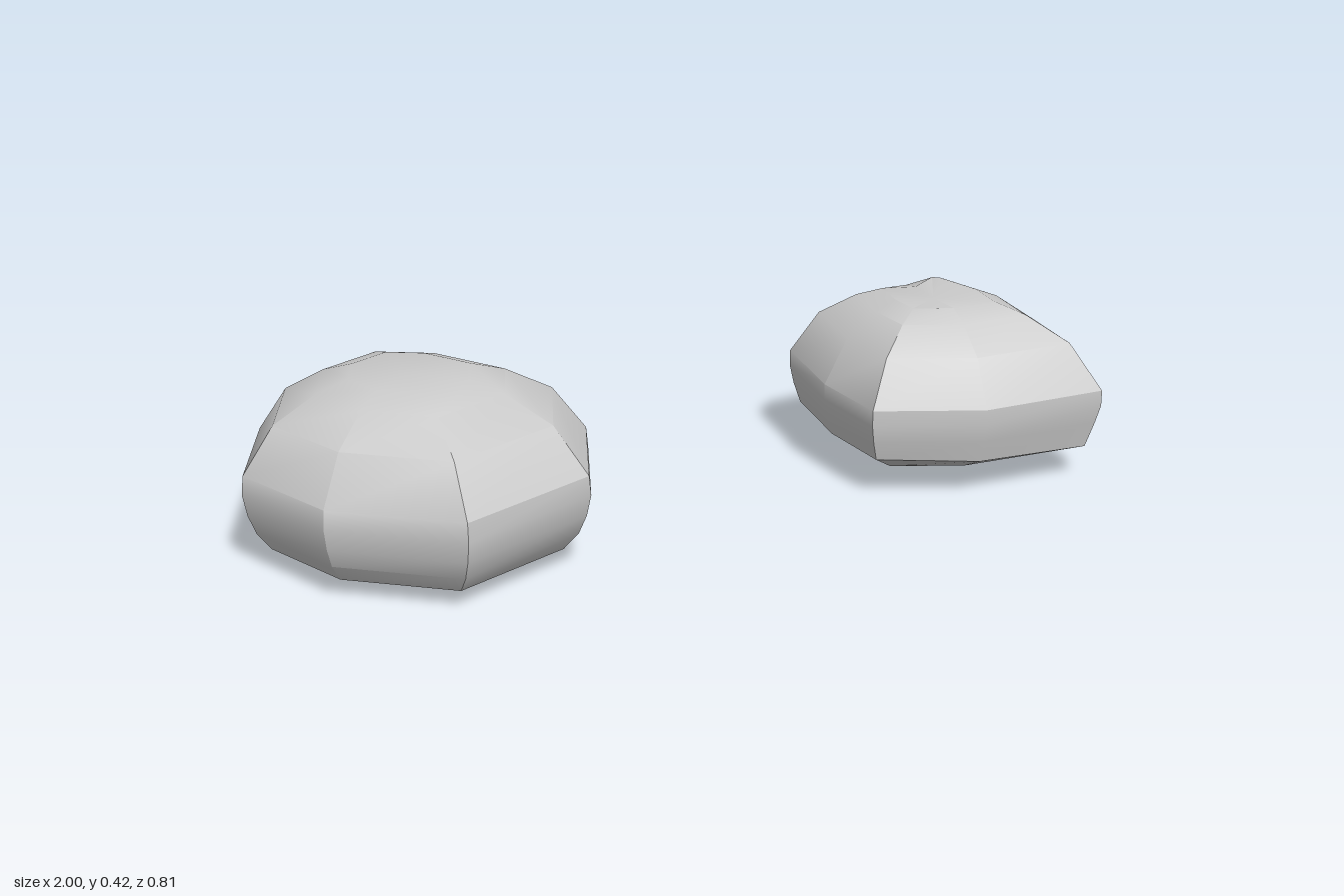
import * as THREE from 'three';
import { toCreasedNormals } from 'three/addons/utils/BufferGeometryUtils.js';

const material = new THREE.MeshStandardMaterial({ color: 0xcccccc });

// Rock: a plan outline [x, z] scaled about a centre at each profile step [height, scale].
// The underside keeps a small opening; adjust() can shift single points.
function makeRock(name, centre, outline, profile, capHeight, adjust = () => {}) {
  const n = outline.length;
  const positions = [];
  const index = [];
  profile.forEach(([y, scale], k) => {
    outline.forEach(([x, z], i) => {
      const p = new THREE.Vector3(
        centre[0] + (x - centre[0]) * scale, y, centre[1] + (z - centre[1]) * scale);
      adjust(p, k, i);
      positions.push(p.x, p.y, p.z);
    });
  });
  // side bands, from the top ring down
  for (let k = 0; k < profile.length - 1; k++) {
    for (let i = 0; i < n; i++) {
      const a = k * n + i, b = k * n + (i + 1) % n;
      index.push(a, b, b + n, a, b + n, a + n);
    }
  }
  // top cap
  const top = positions.length / 3;
  positions.push(centre[0], capHeight, centre[1]);
  for (let i = 0; i < n; i++) index.push(top, (i + 1) % n, i);

  const geometry = new THREE.BufferGeometry();
  geometry.setAttribute('position', new THREE.Float32BufferAttribute(positions, 3));
  geometry.setIndex(index);
  const mesh = new THREE.Mesh(toCreasedNormals(geometry, 0.5), material);
  mesh.name = name;
  return mesh;
}

export function createModel() {
  const group = new THREE.Group();
  group.name = 'rocks';

  // broad, regular boulder
  group.add(makeRock('largeRock', [-0.62, -0.015],
    [[-1, -0.03], [-0.89, -0.29], [-0.63, -0.405], [-0.41, -0.29],
      [-0.2, 0], [-0.3, 0.27], [-0.63, 0.405], [-0.89, 0.22]],
    [[0.417, 0.35], [0.393, 0.54], [0.333, 0.8], [0.225, 0.99], [0.18, 1],
      [0.13, 0.975], [0.085, 0.93], [0.042, 0.845], [0.02, 0.62], [0, 0.09]],
    0.412));

  // smaller, angular boulder with an undercut back corner
  const undercut = { 5: 0.03, 6: 0.05, 7: 0.03 };
  group.add(makeRock('smallRock', [0.7, -0.03],
    [[0.41, -0.02], [0.435, -0.26], [0.7, -0.285], [0.85, -0.33],
      [0.895, -0.295], [1, 0], [0.99, 0.275], [0.68, 0.278], [0.435, 0.18]],
    [[0.412, 0.36], [0.39, 0.54], [0.335, 0.8], [0.228, 1], [0.19, 1],
      [0.145, 0.97], [0.09, 0.92], [0.05, 0.67], [0.018, 0.4], [0, 0.12]],
    0.4, (p, k, i) => {
      if (undercut[k] && (i === 3 || i === 4)) {
        p.x -= undercut[k] * 0.3;
        p.z += undercut[k];
      }
      if (k === 6) p.y -= (p.x - 0.7) * 0.03;
      if (k > 7) p.x += 0.03;
      if (k === 0 && i === 2) p.y -= 0.012;
    }));

  return group;
}
